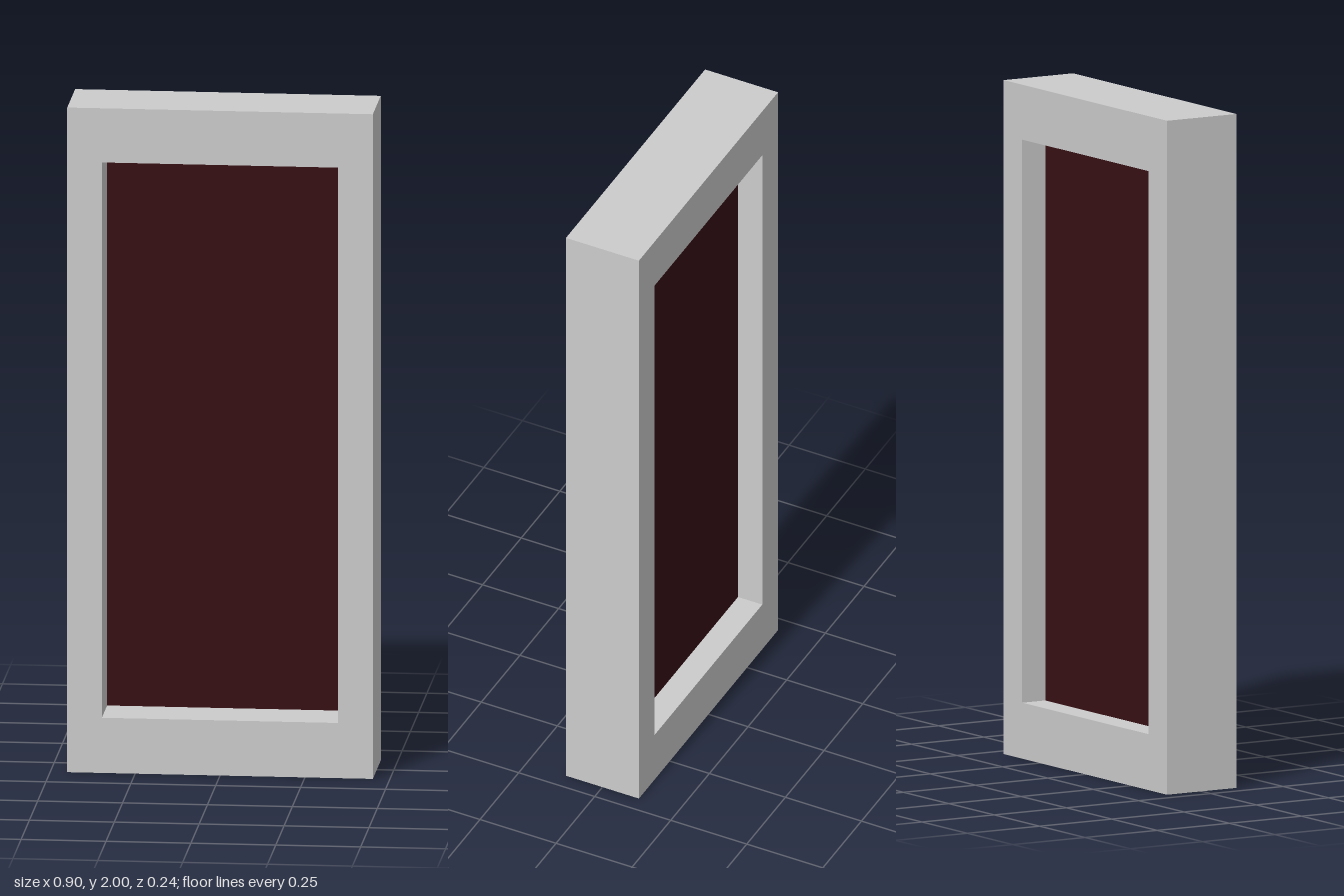
import * as THREE from 'three';

const W = 0.9, H = 2, D = 0.24;                 // outer frame
const IX = 0.348, Y0 = 0.166, Y1 = 1.837;       // opening
const PANE_Z = -0.04;

// Traces a closed rectangle on a Shape or Path
function rect(path, x0, y0, x1, y1) {
  path.moveTo(x0, y0);
  path.lineTo(x1, y0);
  path.lineTo(x1, y1);
  path.lineTo(x0, y1);
  path.closePath();
  return path;
}

export function createModel() {
  const group = new THREE.Group();
  group.name = 'framedPanel';

  // Deep rectangular frame with an opening through it
  const outline = rect(new THREE.Shape(), -W / 2, 0, W / 2, H);
  outline.holes.push(rect(new THREE.Path(), -IX, Y0, IX, Y1));
  const frameGeo = new THREE.ExtrudeGeometry(outline, { depth: D, bevelEnabled: false });
  frameGeo.translate(0, 0, -D / 2);
  const frame = new THREE.Mesh(frameGeo, new THREE.MeshStandardMaterial({ color: 0xcccccc }));
  frame.name = 'frame';
  group.add(frame);

  // Thin dark pane, set nearer the back and seen from both sides
  const pane = new THREE.Mesh(
    new THREE.PlaneGeometry(2 * IX, Y1 - Y0),
    new THREE.MeshStandardMaterial({ color: 0x381015, side: THREE.DoubleSide })
  );
  pane.name = 'pane';
  pane.position.set(0, (Y0 + Y1) / 2, PANE_Z);
  group.add(pane);

  return group;
}
